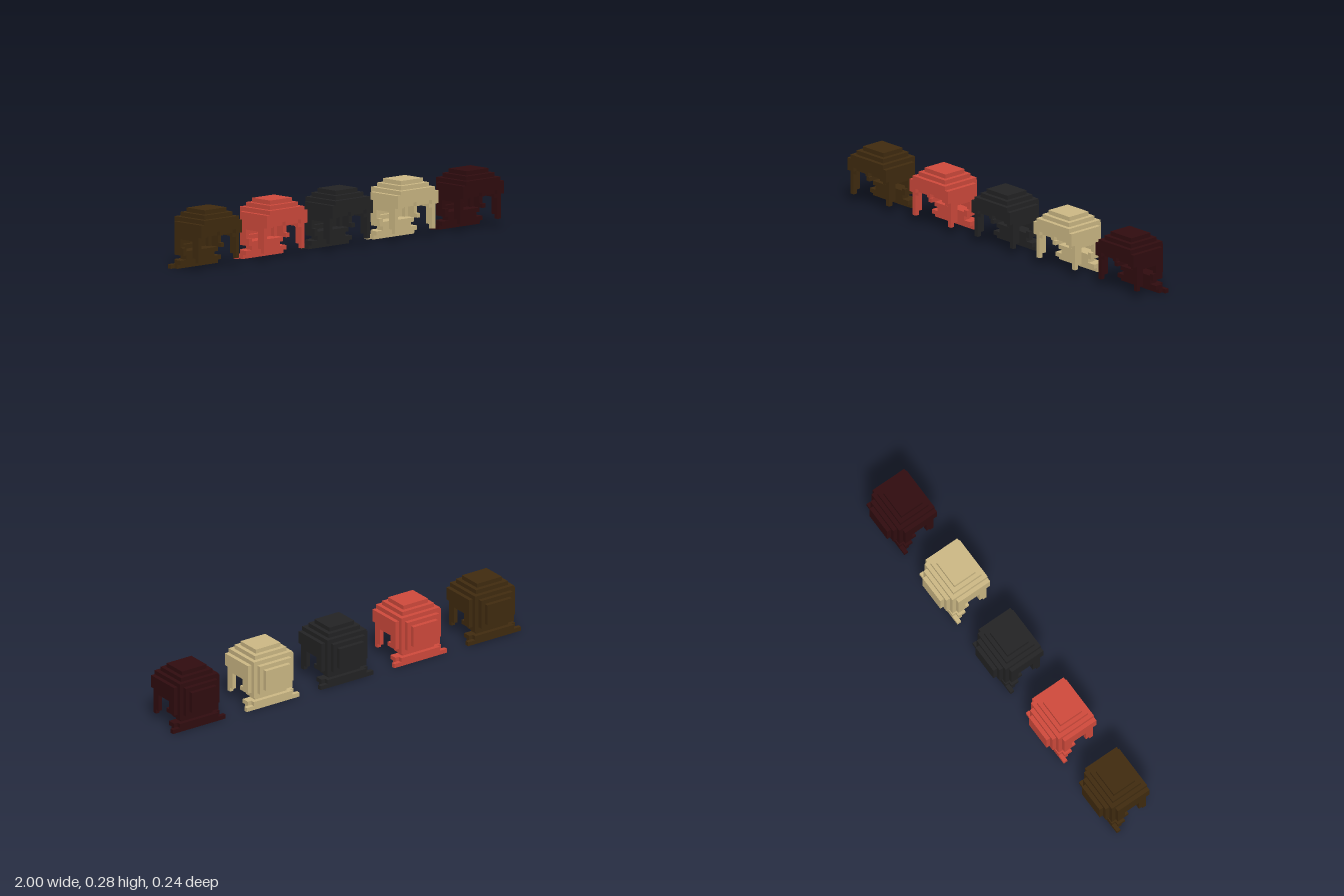
import * as THREE from 'three';
import { mergeGeometries } from 'three/addons/utils/BufferGeometryUtils.js';

const U = 2 / 99; // edge of one cube

// Block between two corners, in cubes
function block(x0, x1, y0, y1, z0, z1) {
  const g = new THREE.BoxGeometry((x1 - x0) * U, (y1 - y0) * U, (z1 - z0) * U);
  return g.translate((x0 + x1) / 2 * U, (y0 + y1) / 2 * U, (z0 + z1) / 2 * U);
}
// Block centred on x with half width w
const wide = (w, y0, y1, z0, z1) => block(-w, w, y0, y1, z0, z1);
// Block and its mirror image
const pair = (x0, x1, ...r) => [block(x0, x1, ...r), block(-x1, -x0, ...r)];

// Horizontal ring, one cube thick all round, for the stepped crown
const crownRing = (w, y, z0, z1) => [
  ...pair(w - 1, w, y, y + 1, z0, z1),
  wide(w - 1, y, y + 1, z0, z0 + 1),
  wide(w - 1, y, y + 1, z1 - 1, z1),
];
// Upright ring for the stepped back
const backRing = (w, y0, y1, z) => [
  ...pair(w - 1, w, y0, y1, z, z + 1),
  wide(w - 1, y0, y0 + 1, z, z + 1),
  wide(w - 1, y1 - 1, y1, z, z + 1),
];

function makeParts() {
  return {
    crown: [
      wide(3.5, 13, 14, -2, 4),
      ...crownRing(4.5, 12, -3, 5),
      ...crownRing(5.5, 11, -3, 6),
    ],
    back: [
      wide(3.5, 5, 10, -6, -5),
      ...backRing(4.5, 4, 11, -5),
      ...backRing(5.5, 3, 12, -4),
    ],
    sides: [
      ...pair(5.5, 6.5, 8, 11, -3, 6),
      ...pair(5.5, 6.5, 7, 8, -3, 5),
      ...pair(5.5, 6.5, 5, 7, -3, -1),
      ...pair(5.5, 6.5, 4, 5, -3, 0),
    ],
    frontLocks: [
      ...pair(5.5, 6.5, 3, 7, 3, 5),
      ...pair(5.5, 6.5, 2, 3, 4, 5),
      ...pair(4.5, 5.5, 7, 9, 4, 5),
    ],
    fringe: [
      wide(5.5, 9, 11, 5, 6),
      wide(0.5, 8, 9, 5, 6),
      ...pair(4.5, 5.5, 8, 9, 5, 6),
      ...pair(0.5, 4.5, 8, 9, 4, 5),
    ],
    nape: [
      wide(5.5, 3, 4, -3, -1),
      wide(4.5, 2, 3, -3, -1),
    ],
    flickedEnds: [
      wide(6.5, 1, 2, -3, -1),
      wide(5.5, 1, 2, -4, -3),
      wide(6.5, 0, 1, -3, -2),
      wide(7.5, 0, 1, -4, -3),
    ],
  };
}

export function createModel() {
  const model = new THREE.Group();
  model.name = 'hairstyles';
  const parts = Object.entries(makeParts()).map(([name, list]) => [name, mergeGeometries(list)]);
  const colours = [
    ['brown', 0x402b0f], ['red', 0xd04a3c], ['black', 0x232324],
    ['blonde', 0xcdb985], ['maroon', 0x300c0f],
  ];
  // One identical hairstyle per colour, in a row
  colours.forEach(([name, color], i) => {
    const material = new THREE.MeshStandardMaterial({ color });
    material.name = name;
    const hair = new THREE.Group();
    hair.name = name + 'Hair';
    hair.position.x = (i - 2) * 21 * U;
    for (const [part, geometry] of parts) {
      const mesh = new THREE.Mesh(geometry, material);
      mesh.name = part;
      hair.add(mesh);
    }
    model.add(hair);
  });
  return model;
}
